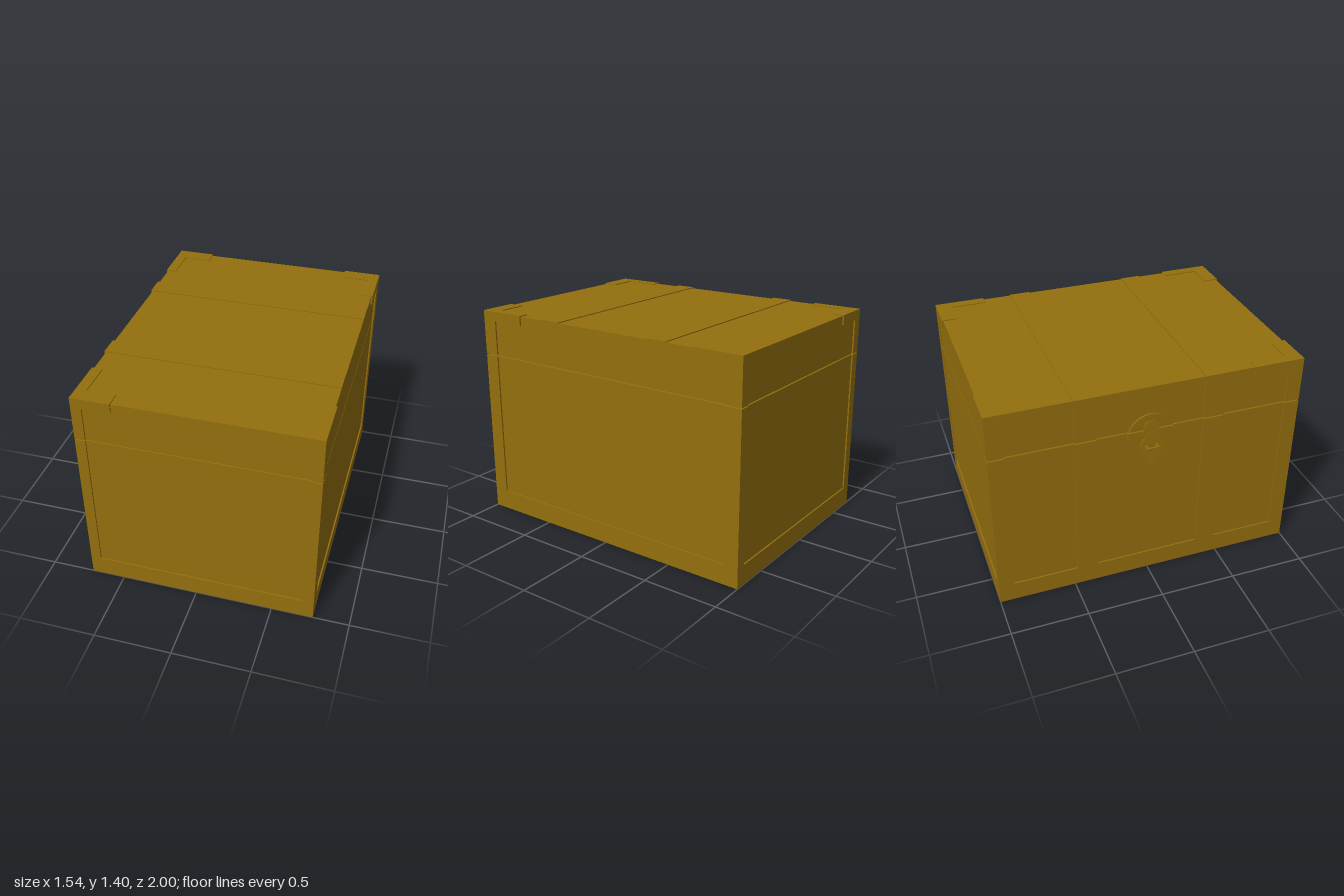
import * as THREE from 'three';

const mat = new THREE.MeshStandardMaterial({ color: 0x946f0d, side: THREE.DoubleSide });

// Outer extents of the chest
const X0 = -0.72, X1 = 0.768, Z = 1, TOP = 1.405;
const POST_X = 0.067, POST_Z = 0.1, RECESS = 0.01;
const BODY_TOP = 1.103, LID_BOTTOM = 1.111;

function add(parent, name, geometry) {
  const mesh = new THREE.Mesh(geometry, mat);
  mesh.name = name;
  parent.add(mesh);
  return mesh;
}

// Box given by its minimum and maximum corners
function box(parent, name, x0, x1, y0, y1, z0, z1) {
  const mesh = add(parent, name, new THREE.BoxGeometry(x1 - x0, y1 - y0, z1 - z0));
  mesh.position.set((x0 + x1) / 2, (y0 + y1) / 2, (z0 + z1) / 2);
  return mesh;
}

// Flat outline in (x, z) raised from y0 to y1
function slab(parent, name, shape, y0, y1) {
  const g = new THREE.ExtrudeGeometry(shape, { depth: y1 - y0, bevelEnabled: false });
  g.rotateX(-Math.PI / 2).translate(0, y0, 0);
  return add(parent, name, g);
}

// Flat outline in (z, y) standing on the latch side, its outer face toward -x
function plate(parent, name, shape, x, depth) {
  const g = new THREE.ExtrudeGeometry(shape, { depth, bevelEnabled: false, curveSegments: 24 });
  g.rotateY(-Math.PI / 2);
  const mesh = add(parent, name, g);
  mesh.position.x = x;
  return mesh;
}

const points = (list) => list.map(([x, y]) => new THREE.Vector2(x, y));

// Four corner posts between two heights
function posts(parent, y0, y1) {
  for (const x of [X0, X1 - POST_X])
    for (const z of [-Z, Z - POST_Z])
      box(parent, 'cornerPost', x, x + POST_X, y0, y1, z, z + POST_Z);
}

function makeBody() {
  const body = new THREE.Group();
  body.name = 'body';
  box(body, 'bodyPanels', X0 + RECESS, X1 - RECESS, RECESS, BODY_TOP, -Z + RECESS, Z - RECESS);
  posts(body, 0.13, BODY_TOP);

  // Base frame, open underneath
  const frame = new THREE.Shape(points([[X0, -Z], [X1, -Z], [X1, Z], [X0, Z]]));
  const a = X0 + POST_X, b = X1 - POST_X, c = Z - POST_Z;
  frame.holes.push(new THREE.Path(points([[a, -c], [a, c], [b, c], [b, -c]])));
  slab(body, 'baseFrame', frame, 0, 0.13);
  return body;
}

function makeLid() {
  const lid = new THREE.Group();
  lid.name = 'lid';
  box(lid, 'lidPanels', X0 + RECESS, X1 - RECESS, LID_BOTTOM, TOP - 0.006, -Z + RECESS, Z - RECESS);
  posts(lid, LID_BOTTOM, 1.34);

  // L-shaped corner caps
  for (const [cx, sx] of [[X0, 1], [X1, -1]])
    for (const sz of [1, -1]) {
      const outline = [[0, 0], [0.248, 0], [0.248, POST_Z], [POST_X, POST_Z], [POST_X, 0.33], [0, 0.33]]
        .map(([x, z]) => [cx + sx * x, sz * (Z - z)]);
      slab(lid, 'cornerCap', new THREE.Shape(points(outline)), 1.34, TOP);
    }
  return lid;
}

// Straps run over the top and down the latch side
function makeStraps() {
  const straps = new THREE.Group();
  straps.name = 'straps';
  for (const z of [-0.48, 0.345]) {
    box(straps, 'topStrap', X0, X1 - RECESS, TOP - 0.012, TOP, z, z + 0.135);
    box(straps, 'lidStrap', X0, X0 + 0.02, LID_BOTTOM, TOP, z, z + 0.135);
    box(straps, 'bodyStrap', X0, X0 + 0.02, 0.13, BODY_TOP, z, z + 0.135);
  }
  return straps;
}

function makeLatch() {
  const latch = new THREE.Group();
  latch.name = 'latch';

  // Round backing plate, split along the lid gap
  const r = 0.15, cy = 1.065;
  const up = Math.asin((LID_BOTTOM - cy) / r), low = Math.asin((BODY_TOP - cy) / r);
  const upper = new THREE.Shape();
  upper.absarc(0, cy, r, up, Math.PI - up);
  plate(latch, 'upperBackplate', upper, X0 + 0.012, 0.012);
  const lower = new THREE.Shape();
  lower.absarc(0, cy, r, Math.PI - low, 2 * Math.PI + low);
  plate(latch, 'lowerBackplate', lower, X0 + 0.012, 0.012);

  // Hasp with rounded head, narrow neck, wide slotted middle and pointed tip
  const hasp = new THREE.Shape();
  hasp.moveTo(0.02, -0.145);
  hasp.quadraticCurveTo(0.035, -0.09, 0.06, -0.07);
  hasp.quadraticCurveTo(0.09, -0.01, 0.06, 0.035);
  hasp.quadraticCurveTo(0.038, 0.06, 0.04, 0.09);
  hasp.quadraticCurveTo(0.07, 0.16, 0, 0.17);
  hasp.quadraticCurveTo(-0.07, 0.16, -0.04, 0.09);
  hasp.quadraticCurveTo(-0.038, 0.06, -0.06, 0.035);
  hasp.quadraticCurveTo(-0.09, -0.01, -0.06, -0.07);
  hasp.quadraticCurveTo(-0.035, -0.09, -0.02, -0.145);
  hasp.closePath();
  hasp.holes.push(new THREE.Path(points([[-0.045, -0.028], [-0.045, 0.005], [0.045, 0.005], [0.045, -0.028]])));
  const strap = plate(latch, 'hasp', hasp, -0.73, 0.005);
  strap.position.y = 1.002;
  strap.rotation.z = -0.045;

  // Square staple through the slot
  box(latch, 'stapleFront', -0.768, -0.756, 0.983, 1.001, -0.04, 0.04);
  for (const z of [-0.04, 0.028])
    box(latch, 'stapleLeg', -0.768, -0.7, 0.983, 1.001, z, z + 0.012);
  return latch;
}

export function createModel() {
  const chest = new THREE.Group();
  chest.name = 'chest';
  chest.add(makeBody(), makeLid(), makeStraps(), makeLatch());
  return chest;
}
